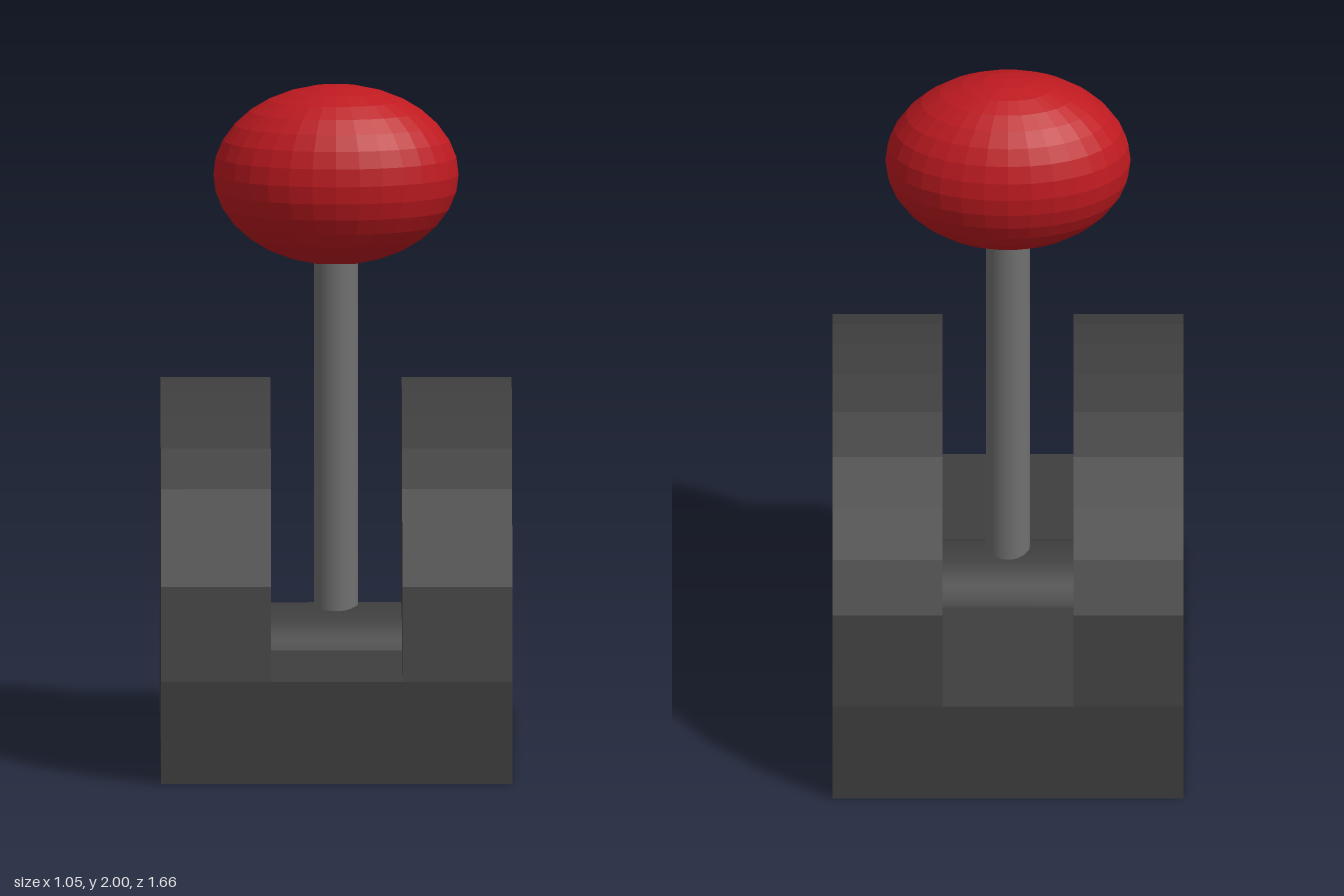
import * as THREE from 'three';

const HALF_WIDTH = 0.527, SLOT = 0.197, HALF_DEPTH = 0.83, FLOOR = 0.31;

// Half of the faceted arch, as (z, y), from the floor line up to the crown
const ARCH = [[0.83, FLOOR], [0.777, 0.59], [0.695, 0.735], [0.595, 0.86],
  [0.465, 0.965], [0.322, 1.043], [0.164, 1.09], [0, 1.105]];

export function createModel() {
  const model = new THREE.Group();
  const dark = new THREE.MeshStandardMaterial({ color: 0x3e3e3e, flatShading: true });
  const axleGrey = new THREE.MeshStandardMaterial({ color: 0x3e3e3e });
  const steel = new THREE.MeshStandardMaterial({ color: 0x707070 });
  const red = new THREE.MeshStandardMaterial({ color: 0xbe1a20, flatShading: true });

  const add = (name, geometry, material, x, y, z) => {
    const mesh = new THREE.Mesh(geometry, material);
    mesh.name = name;
    mesh.position.set(x, y, z);
    model.add(mesh);
    return mesh;
  };

  // Base block, its top forming the floor of the slot
  add('base', new THREE.BoxGeometry(HALF_WIDTH * 2, FLOOR, HALF_DEPTH * 2), dark, 0, FLOOR / 2, 0);

  // Two arched cheeks on either side of the slot
  const mirrored = ARCH.slice(0, -1).reverse().map(([z, y]) => [-z, y]);
  const arch = new THREE.Shape([...ARCH, ...mirrored].map(([z, y]) => new THREE.Vector2(z, y)));
  const cheek = new THREE.ExtrudeGeometry(arch, { depth: HALF_WIDTH - SLOT, bevelEnabled: false });
  cheek.rotateY(Math.PI / 2);
  add('leftCheek', cheek, dark, SLOT, 0, 0);
  add('rightCheek', cheek, dark, -HALF_WIDTH, 0, 0);

  // Pivot drum lying across the slot, partly sunk in the floor
  const drum = new THREE.CylinderGeometry(0.2, 0.2, SLOT * 2, 32);
  drum.rotateZ(Math.PI / 2);
  add('pivot', drum, axleGrey, 0, 0.225, 0);

  // Lever rod, from the pivot into the knob
  add('rod', new THREE.CylinderGeometry(0.066, 0.066, 1.2, 24), steel, 0, 0.95, 0);

  // Egg-shaped knob, wide across x
  const knob = add('knob', new THREE.SphereGeometry(1, 32, 16), red, 0, 1.728, 0);
  knob.scale.set(0.368, 0.272, 0.272);

  return model;
}
